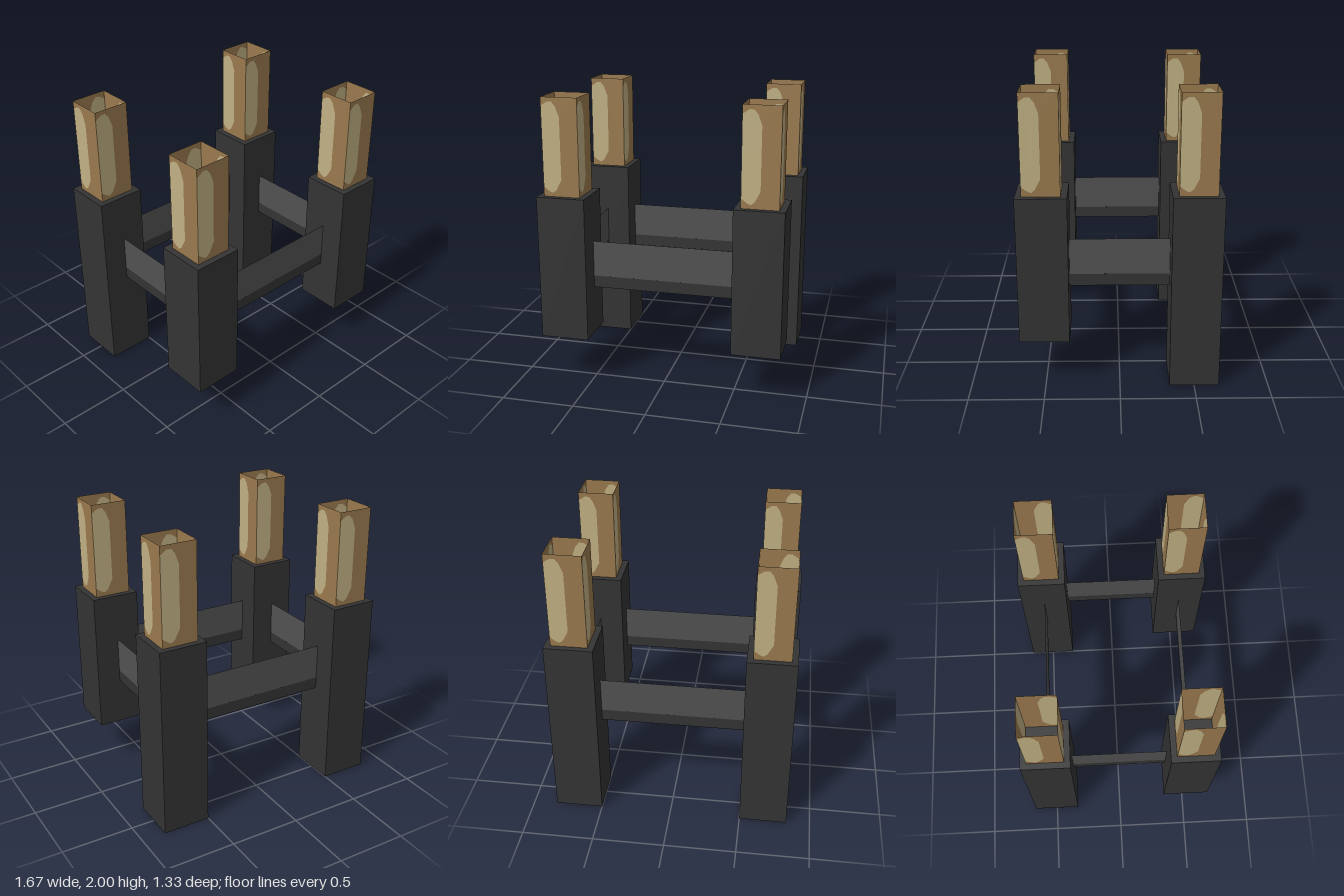
import * as THREE from 'three';

const material = (name, color) => {
  const m = new THREE.MeshStandardMaterial({ color, side: THREE.DoubleSide });
  m.name = name;
  return m;
};

const POST = 1 / 3;          // post width
const TUBE = 0.25;           // upper tube width
const PX = 2 / 3, PZ = 0.5;  // post centres
const POST_TOP = 4 / 3;

// Outline of the pale patch on a tube wall, from its lower to its upper left corner
const PATCH = [
  [0, 1.40], [0.04, 1.37], [0.065, 1.36], [0.09, 1.38], [0.126, 1.45],
  [0.126, 1.87], [0.1, 1.94], [0.075, 1.97], [0.045, 1.97], [0, 1.94],
].map(([u, y]) => new THREE.Vector2(u - TUBE / 2, y));

export function createModel() {
  const dark = material('dark grey', 0x343434);
  const grey = material('mid grey', 0x525252);
  const brown = material('brown', 0x9a7a4e);
  const pale = material('pale tan', 0xc1b184);

  const model = new THREE.Group();
  model.name = 'frame';
  const add = (parent, name, geometry, mat) => {
    const mesh = new THREE.Mesh(geometry, mat);
    mesh.name = name;
    parent.add(mesh);
    return mesh;
  };

  // Tube wall: a brown plate cut around the pale patch
  const h = TUBE / 2;
  const patchGeometry = new THREE.ShapeGeometry(new THREE.Shape(PATCH));
  const wallGeometry = new THREE.ShapeGeometry(new THREE.Shape([
    new THREE.Vector2(-h, POST_TOP), new THREE.Vector2(h, POST_TOP),
    new THREE.Vector2(h, 2), new THREE.Vector2(-h, 2),
    ...[...PATCH].reverse(),
  ]));

  for (const sx of [-1, 1]) {
    for (const sz of [-1, 1]) {
      const side = (sz > 0 ? 'front' : 'back') + (sx > 0 ? 'Left' : 'Right');
      const leg = new THREE.Group();
      leg.name = side + 'Leg';
      leg.position.set(sx * PX, 0, sz * PZ);
      model.add(leg);

      // Post: front ones are shorter and closed, back ones reach the ground and are open below
      const bottom = sz > 0 ? 1 / 3 : 0;
      const post = new THREE.BoxGeometry(POST, POST_TOP - bottom, POST);
      if (sz < 0) {
        const index = Array.from(post.index.array);
        post.setIndex([...index.slice(0, 18), ...index.slice(24)]);
        post.clearGroups();
      }
      post.translate(0, (POST_TOP + bottom) / 2, 0);
      add(leg, 'post', post, dark);

      // Open square tube on top
      for (let i = 0; i < 4; i++) {
        const wall = new THREE.Group();
        wall.name = 'tubeWall' + (i + 1);
        wall.rotation.y = i * Math.PI / 2;
        leg.add(wall);
        add(wall, 'wallPlate', wallGeometry, brown).position.z = h;
        add(wall, 'palePatch', patchGeometry, pale).position.z = h;
      }
    }
  }

  // Thin rails joining the posts, each with a darker lower strip
  const rail = (name, length, x, z, turn) => {
    const group = new THREE.Group();
    group.name = name;
    group.position.set(x, 0, z);
    group.rotation.y = turn;
    model.add(group);
    add(group, 'upperBand', new THREE.PlaneGeometry(length, 0.25), grey).position.y = 0.875;
    add(group, 'lowerStrip', new THREE.PlaneGeometry(length, 0.0833), dark).position.y = 0.7083;
  };
  const spanX = 2 * PX - POST, spanZ = 2 * PZ - POST;
  rail('frontRail', spanX, 0, PZ, 0);
  rail('backRail', spanX, 0, -PZ, Math.PI);
  rail('leftRail', spanZ, PX, 0, Math.PI / 2);
  rail('rightRail', spanZ, -PX, 0, -Math.PI / 2);

  return model;
}
